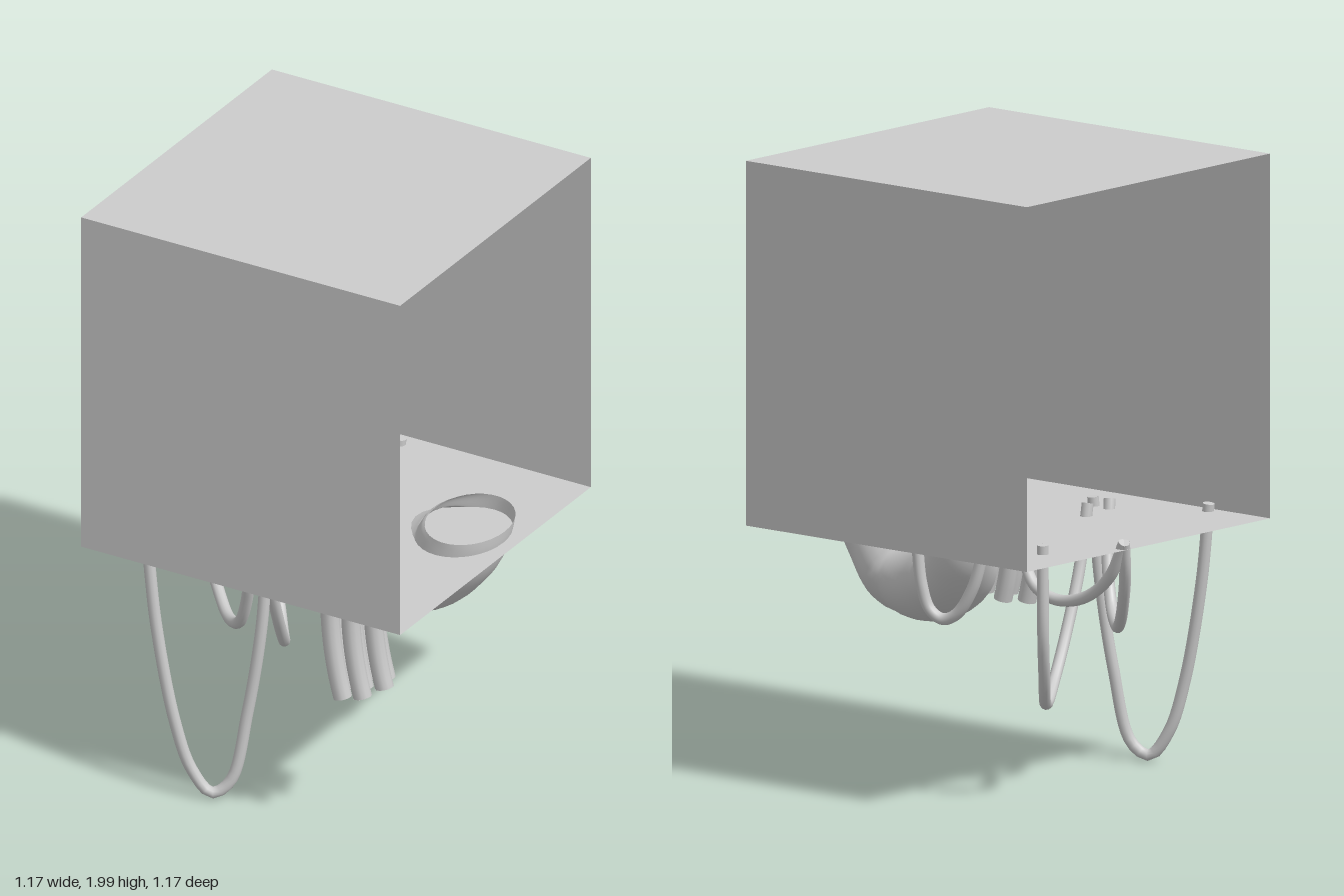
import * as THREE from 'three';

const material = new THREE.MeshStandardMaterial({ color: 0xcccccc, side: THREE.DoubleSide });
const vec = (p) => new THREE.Vector3(...p);

function addMesh(parent, geometry, name) {
  const mesh = new THREE.Mesh(geometry, material);
  mesh.name = name;
  parent.add(mesh);
  return mesh;
}

// Round tube along a curve, closed with a disc at both ends
function cappedTube(name, points, radius, segments) {
  const group = new THREE.Group();
  group.name = name;
  const curve = new THREE.CatmullRomCurve3(points.map(vec));
  addMesh(group, new THREE.TubeGeometry(curve, segments, radius, 12), name + 'Body');
  for (const t of [0, 1]) {
    const cap = addMesh(group, new THREE.CircleGeometry(radius, 12), name + 'Cap');
    const outward = curve.getTangentAt(t).multiplyScalar(t ? 1 : -1);
    cap.position.copy(curve.getPointAt(t));
    cap.quaternion.setFromUnitVectors(new THREE.Vector3(0, 0, 1), outward);
  }
  return group;
}

// Open sac: elliptical sections [in-plane radius, depth radius] swept along a path
function sacGeometry(path, radii) {
  const rows = 40, cols = 32;
  const curve = new THREE.CatmullRomCurve3(path.map(vec));
  const size = new THREE.CatmullRomCurve3(radii.map(([a, b]) => new THREE.Vector3(a, b, 0)));
  const positions = [], index = [];
  for (let i = 0; i <= rows; i++) {
    const t = i / rows;
    const center = curve.getPoint(t), tangent = curve.getTangent(t), r = size.getPoint(t);
    const side = new THREE.Vector3(0, 0, 1).cross(tangent).normalize();
    const depth = tangent.clone().cross(side);
    // Turn the sections towards level at the rims
    for (let j = 0; j < cols; j++) {
      const a = (j / cols) * Math.PI * 2;
      const p = center.clone()
        .addScaledVector(side, Math.cos(a) * r.x)
        .addScaledVector(depth, Math.sin(a) * r.y);
      const level = Math.pow(Math.abs(2 * t - 1), 6) * 0.85;
      p.y += (center.y - p.y) * level;
      positions.push(p.x, p.y, p.z);
      if (i < rows) {
        const k = i * cols + j, n = i * cols + (j + 1) % cols;
        index.push(k, n, k + cols, n, n + cols, k + cols);
      }
    }
  }
  const geometry = new THREE.BufferGeometry();
  geometry.setAttribute('position', new THREE.Float32BufferAttribute(positions, 3));
  geometry.setIndex(index);
  geometry.computeVertexNormals();
  return geometry;
}

export function createModel() {
  const model = new THREE.Group();
  model.name = 'boxWithHangingTubes';

  // Box shell: front, back, top and floor, open on the left and right
  const width = 1.17, half = width / 2, floorY = 0.83, midY = floorY + half;
  const panels = [
    ['frontPanel', 0, midY, half, 0],
    ['topPanel', 0, 2, 0, -Math.PI / 2],
    ['backPanel', 0, midY, -half, Math.PI],
    ['floorPanel', 0, floorY, 0, Math.PI / 2],
  ];
  for (const [name, x, y, z, tilt] of panels) {
    const panel = addMesh(model, new THREE.PlaneGeometry(width, width), name);
    panel.position.set(x, y, z);
    panel.rotation.x = tilt;
  }

  // Hanging sac with open rims above the floor
  addMesh(model, sacGeometry(
    [[0.42, 0.88, -0.12], [0.37, 0.77, -0.12], [0.2, 0.66, -0.16],
      [0.01, 0.7, -0.26], [-0.1, 0.79, -0.35], [-0.14, 0.86, -0.39]],
    [[0.14, 0.18], [0.14, 0.18], [0.14, 0.18], [0.12, 0.15], [0.1, 0.11], [0.09, 0.09]],
  ), 'sac');

  // Thin looping cords
  const cords = {
    longCord: [[-0.36, 0.855, 0.55], [-0.33, 0.6, 0.55], [-0.27, 0.28, 0.54], [-0.22, 0.11, 0.52],
      [-0.16, 0.03, 0.495], [-0.11, 0.07, 0.465], [-0.07, 0.31, 0.425], [-0.035, 0.6, 0.4], [-0.025, 0.86, 0.38]],
    wideCord: [[-0.43, 0.86, -0.33], [-0.415, 0.55, -0.31], [-0.36, 0.39, -0.24], [-0.31, 0.32, -0.18],
      [-0.26, 0.3, -0.11], [-0.19, 0.34, 0], [-0.15, 0.46, 0.1], [-0.125, 0.67, 0.2], [-0.12, 0.87, 0.245]],
    middleCord: [[-0.57, 0.85, -0.1], [-0.54, 0.74, -0.06], [-0.46, 0.61, 0.02], [-0.36, 0.53, 0.12],
      [-0.26, 0.5, 0.22], [-0.18, 0.54, 0.29], [-0.12, 0.68, 0.34], [-0.09, 0.86, 0.385]],
    shallowCord: [[-0.57, 0.85, -0.1], [-0.5, 0.73, -0.09], [-0.39, 0.65, -0.08], [-0.26, 0.625, -0.07],
      [-0.17, 0.66, -0.07], [-0.115, 0.75, -0.06], [-0.09, 0.85, -0.06]],
    shortCord: [[-0.3, 0.86, -0.46], [-0.26, 0.72, -0.47], [-0.2, 0.63, -0.48], [-0.15, 0.61, -0.49],
      [-0.11, 0.64, -0.505], [-0.09, 0.72, -0.52], [-0.08, 0.85, -0.53]],
  };
  for (const [name, points] of Object.entries(cords)) model.add(cappedTube(name, points, 0.019, 64));

  // Bundle of seven bent pipes, packed in rows of 2, 3 and 2
  const bundle = new THREE.Group();
  bundle.name = 'pipeBundle';
  const bend = 0.28, drop = 0.327, bendRadius = drop / Math.sin(bend);
  for (const [row, offsets] of [[-1, [-0.5, 0.5]], [0, [-1, 0, 1]], [1, [-0.5, 0.5]]]) {
    for (const offset of offsets) {
      const points = [];
      for (let i = 0; i <= 6; i++) {
        const a = (bend * i) / 6, r = bendRadius - offset * 0.076;
        points.push([0.305 + bendRadius - r * Math.cos(a), floorY - r * Math.sin(a), 0.412 + row * 0.073]);
      }
      bundle.add(cappedTube('pipe', points, 0.03, 16));
    }
  }
  model.add(bundle);
  return model;
}
